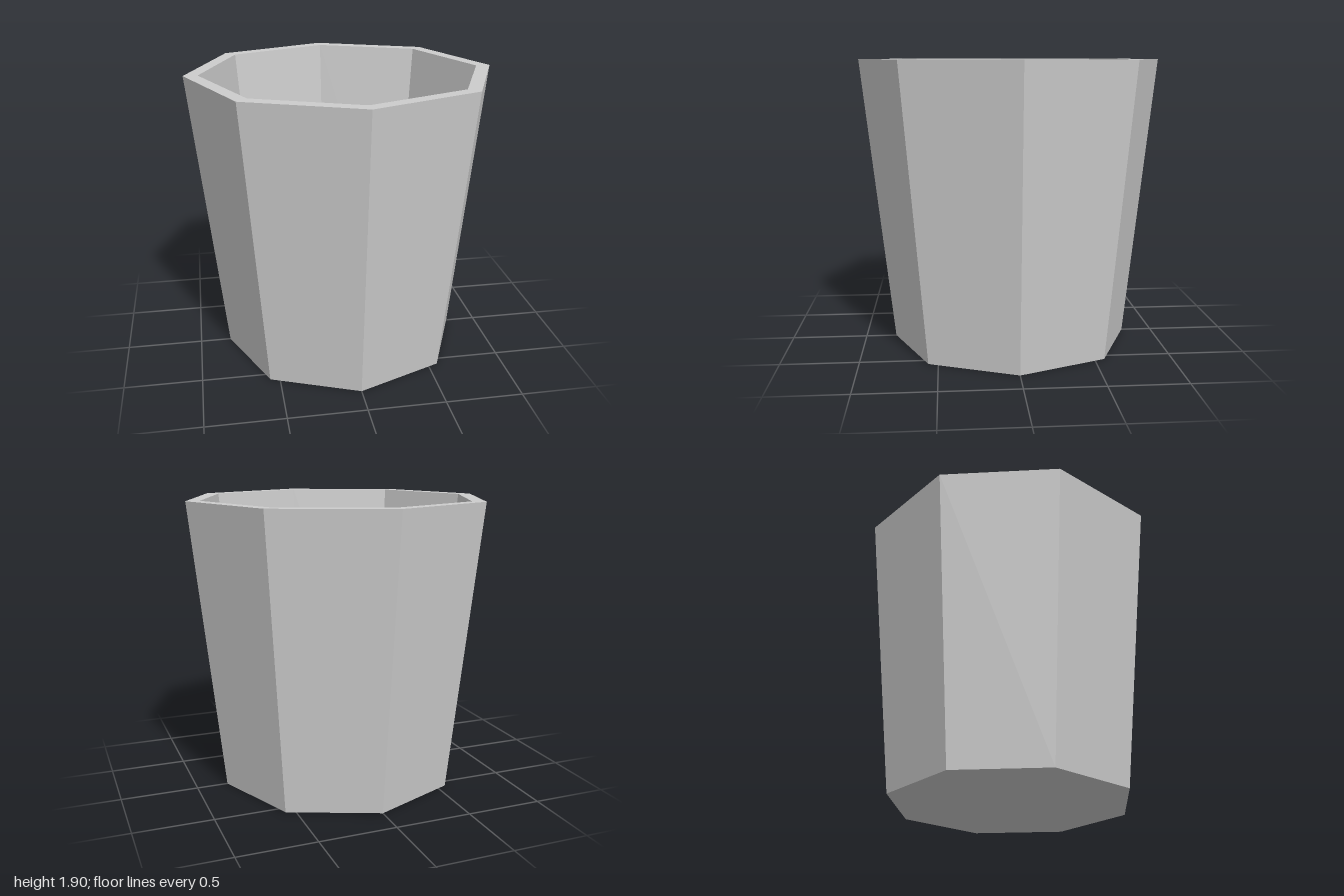
import * as THREE from 'three';

const SIDES = 8;
const HEIGHT = 1.9;
const FLOOR = 0.04;
const OUTER = { top: 1.0, bottom: 0.796 };
const INNER = { top: 0.908, bottom: 0.725 };

// Separate the faces so every facet is shaded flat
function faceted(geometry) {
  const flat = geometry.toNonIndexed();
  flat.computeVertexNormals();
  return flat;
}

export function createModel() {
  const group = new THREE.Group();
  group.name = 'octagonalCup';

  const grey = new THREE.MeshStandardMaterial({ color: 0xcccccc });
  grey.name = 'light grey';

  function add(name, geometry, y = 0) {
    const mesh = new THREE.Mesh(faceted(geometry), grey);
    mesh.name = name;
    mesh.position.y = y;
    group.add(mesh);
  }

  // One ring of eight facets between two radius/height points
  const ring = (r0, y0, r1, y1) =>
    new THREE.LatheGeometry([new THREE.Vector2(r0, y0), new THREE.Vector2(r1, y1)], SIDES);

  // Tapered walls and the flat rim joining them
  add('outerWall', ring(OUTER.bottom, 0, OUTER.top, HEIGHT));
  add('rim', ring(OUTER.top, HEIGHT, INNER.top, HEIGHT));
  add('innerWall', ring(INNER.top, HEIGHT, INNER.bottom, FLOOR));

  // Inside floor facing up, underside facing down
  add('floor', new THREE.CircleGeometry(INNER.bottom, SIDES).rotateX(-Math.PI / 2), FLOOR);
  add('underside', new THREE.CircleGeometry(OUTER.bottom, SIDES).rotateX(Math.PI / 2));

  return group;
}
